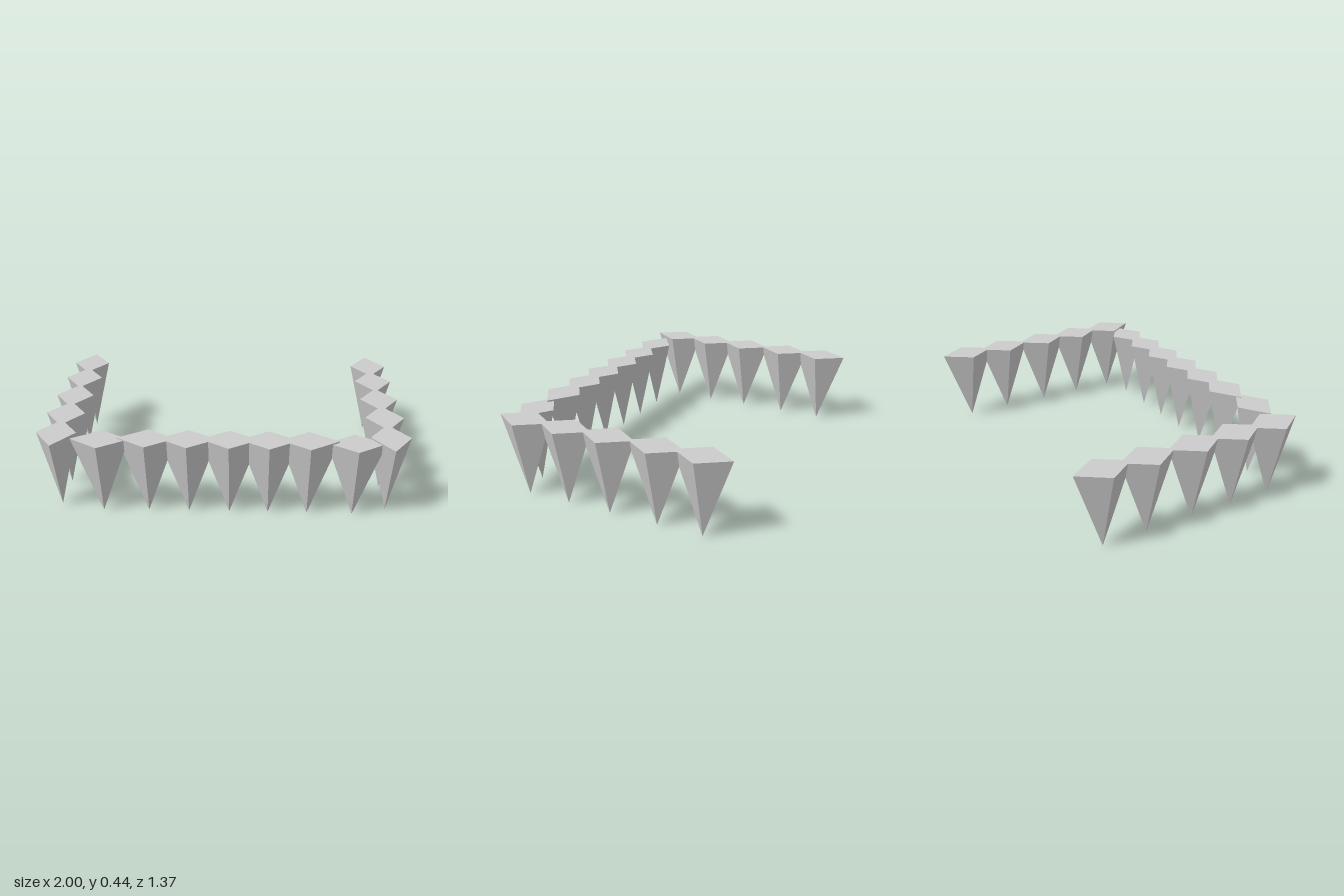
import * as THREE from 'three';

const TOP = 0.437;

export function createModel() {
  const model = new THREE.Group();
  const material = new THREE.MeshStandardMaterial({ color: 0xcccccc, flatShading: true });

  // Unit spike: four-sided pyramid with its tip at y = 0 and its flat base at y = 1
  const spike = new THREE.ConeGeometry(1, 1, 4).rotateX(Math.PI).translate(0, 0.5, 0);

  function addSpike(group, name, x, z, halfX, halfZ, height = TOP) {
    const mesh = new THREE.Mesh(spike, material);
    mesh.name = name;
    mesh.position.set(x, 0, z);
    mesh.scale.set(halfX, height, halfZ);
    group.add(mesh);
  }

  // Side rows, mirrored in x
  for (const [name, side] of [['left', 1], ['right', -1]]) {
    const row = new THREE.Group();
    row.name = name + 'Row';
    [-0.526, -0.272, 0.006, 0.261, 0.512].forEach((z, i) =>
      addSpike(row, `${name}Spike${i + 1}`, side * 0.892, z, 0.108, 0.159));
    model.add(row);
  }

  // Front row: x, z and height, the two outer spikes sit slightly lower
  const front = new THREE.Group();
  front.name = 'frontRow';
  [
    [-0.65, 0.573, 0.432], [-0.402, 0.564], [-0.182, 0.564], [0.038, 0.564],
    [0.248, 0.564], [0.461, 0.564], [0.706, 0.568, 0.428],
  ].forEach(([x, z, height], i) =>
    addSpike(front, `frontSpike${i + 1}`, x, z, 0.157, 0.107, height));
  model.add(front);

  return model;
}
